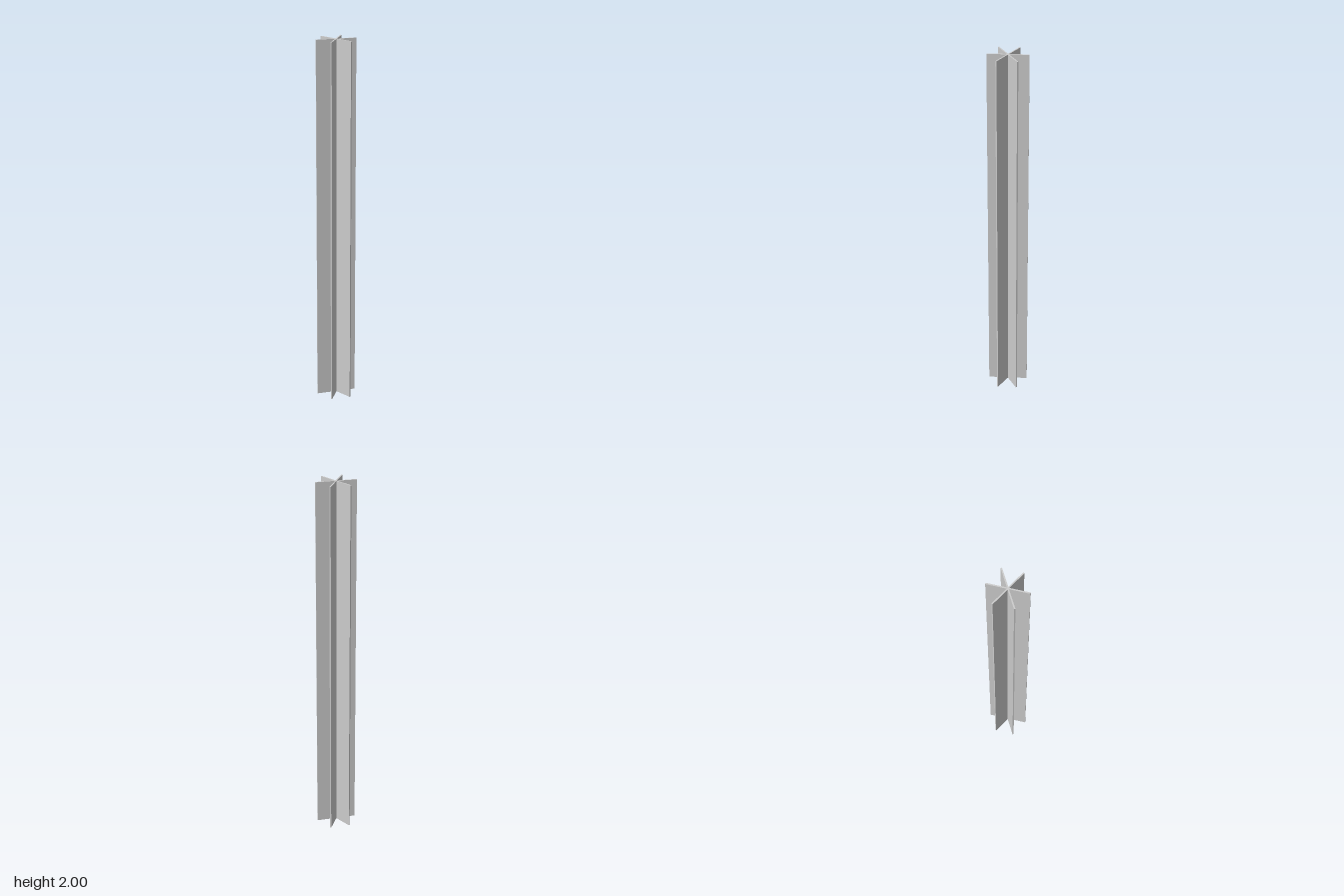
import * as THREE from 'three';

const HEIGHT = 2;
const REACH = 0.108; // axis to fin tip
const THICK = 0.007;
const FINS = 6;

// Star-shaped cross-section: six thin fins meeting at the axis
function starSection() {
  const points = [];
  const step = (Math.PI * 2) / FINS;
  const inner = THICK / 2 / Math.sin(step / 2);
  const axis = new THREE.Vector2();
  for (let i = 0; i < FINS; i++) {
    const a = i * step;
    points.push(
      new THREE.Vector2(REACH, -THICK / 2).rotateAround(axis, a),
      new THREE.Vector2(REACH, THICK / 2).rotateAround(axis, a),
      new THREE.Vector2(inner, 0).rotateAround(axis, a + step / 2),
    );
  }
  return new THREE.Shape(points);
}

export function createModel() {
  const group = new THREE.Group();
  group.name = 'finnedPost';

  // Extrude the section upwards from the ground
  const geometry = new THREE.ExtrudeGeometry(starSection(), { depth: HEIGHT, bevelEnabled: false });
  geometry.rotateX(-Math.PI / 2);

  const fins = new THREE.Mesh(geometry, new THREE.MeshStandardMaterial({ color: 0xcccccc }));
  fins.name = 'fins';
  group.add(fins);
  return group;
}
